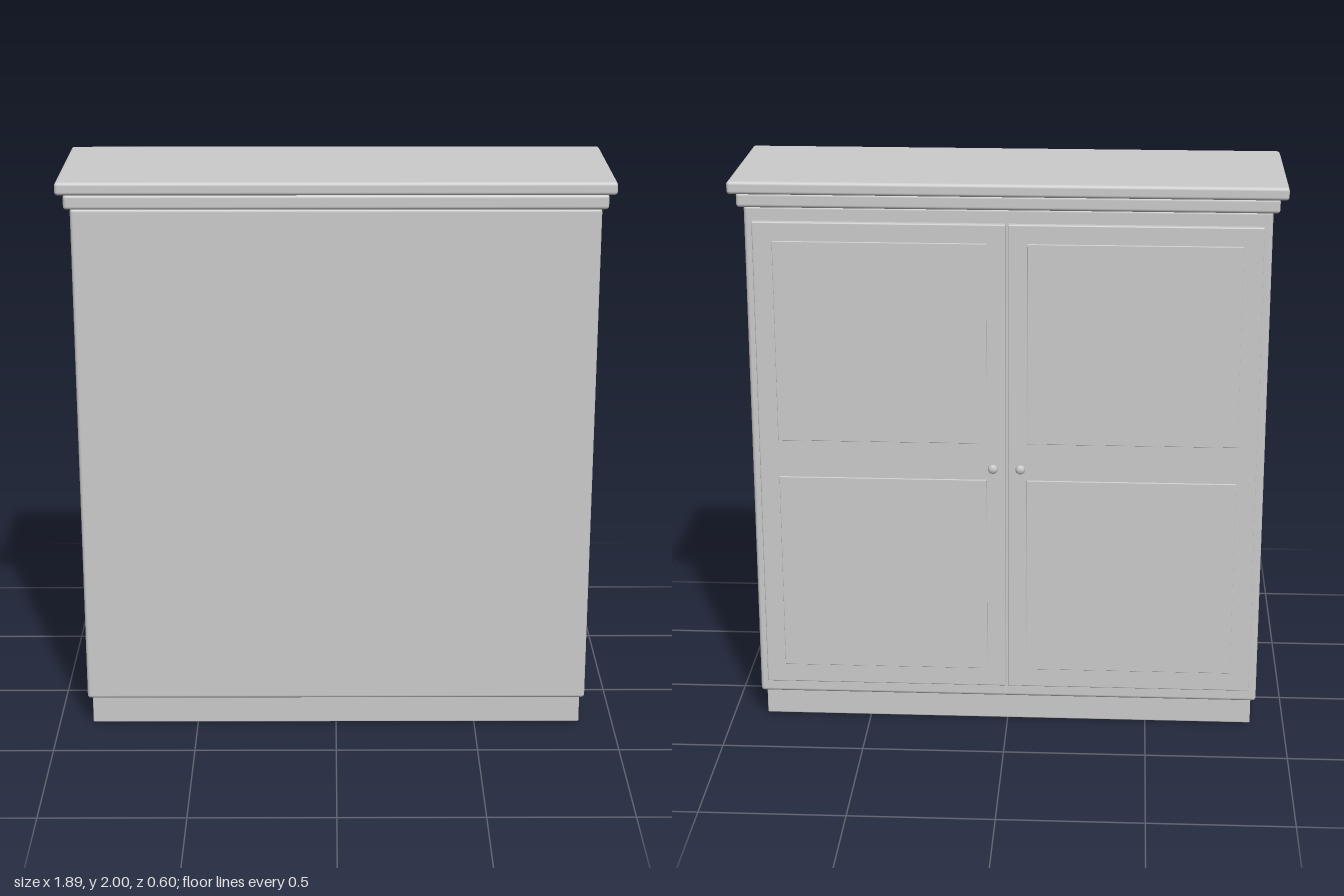
import * as THREE from 'three';
import { RoundedBoxGeometry } from 'three/addons/geometries/RoundedBoxGeometry.js';

const material = new THREE.MeshStandardMaterial({ color: 0xcccccc });

// Softly rounded block given by its extents on each axis
function block(name, [x0, x1], [y0, y1], [z0, z1], radius) {
  const geometry = new RoundedBoxGeometry(x1 - x0, y1 - y0, z1 - z0, 3, radius);
  const mesh = new THREE.Mesh(geometry, material);
  mesh.name = name;
  mesh.position.set((x0 + x1) / 2, (y0 + y1) / 2, (z0 + z1) / 2);
  return mesh;
}

// Turned knob pointing towards -z
function knob(name, x, y, z) {
  const profile = [[0, 0], [0.008, 0], [0.008, 0.007], [0.014, 0.011], [0.017, 0.016], [0.015, 0.022], [0.009, 0.026], [0, 0.027]]
    .map(([r, h]) => new THREE.Vector2(r, h));
  const mesh = new THREE.Mesh(new THREE.LatheGeometry(profile, 20), material);
  mesh.name = name;
  mesh.rotation.x = -Math.PI / 2;
  mesh.position.set(x, y, z);
  return mesh;
}

export function createModel() {
  const model = new THREE.Group();
  model.name = 'cabinet';

  // Carcass: plinth, body and two-step cornice
  model.add(
    block('plinth', [-0.88, 0.88], [0, 0.105], [-0.22, 0.27], 0.004),
    block('body', [-0.897, 0.897], [0.1, 1.907], [-0.25, 0.285], 0.012),
    block('lowerCornice', [-0.918, 0.918], [1.905, 1.957], [-0.276, 0.295], 0.012),
    block('topBoard', [-0.945, 0.945], [1.955, 2], [-0.3, 0.3], 0.012),
  );

  // Two mirrored doors, each with two raised panels and a knob
  for (const [side, s] of [['left', 1], ['right', -1]]) {
    const span = (a, b) => (s > 0 ? [a, b] : [-b, -a]);
    const door = new THREE.Group();
    door.name = `${side}Door`;
    door.add(
      block('doorLeaf', span(0.004, 0.868), [0.15, 1.855], [-0.271, -0.245], 0.004),
      block('upperPanel', span(0.07, 0.8), [1.075, 1.79], [-0.277, -0.265], 0.002),
      block('lowerPanel', span(0.07, 0.8), [0.22, 0.94], [-0.277, -0.265], 0.002),
      knob('knob', s * 0.048, 0.985, -0.271),
    );
    model.add(door);
  }
  return model;
}
